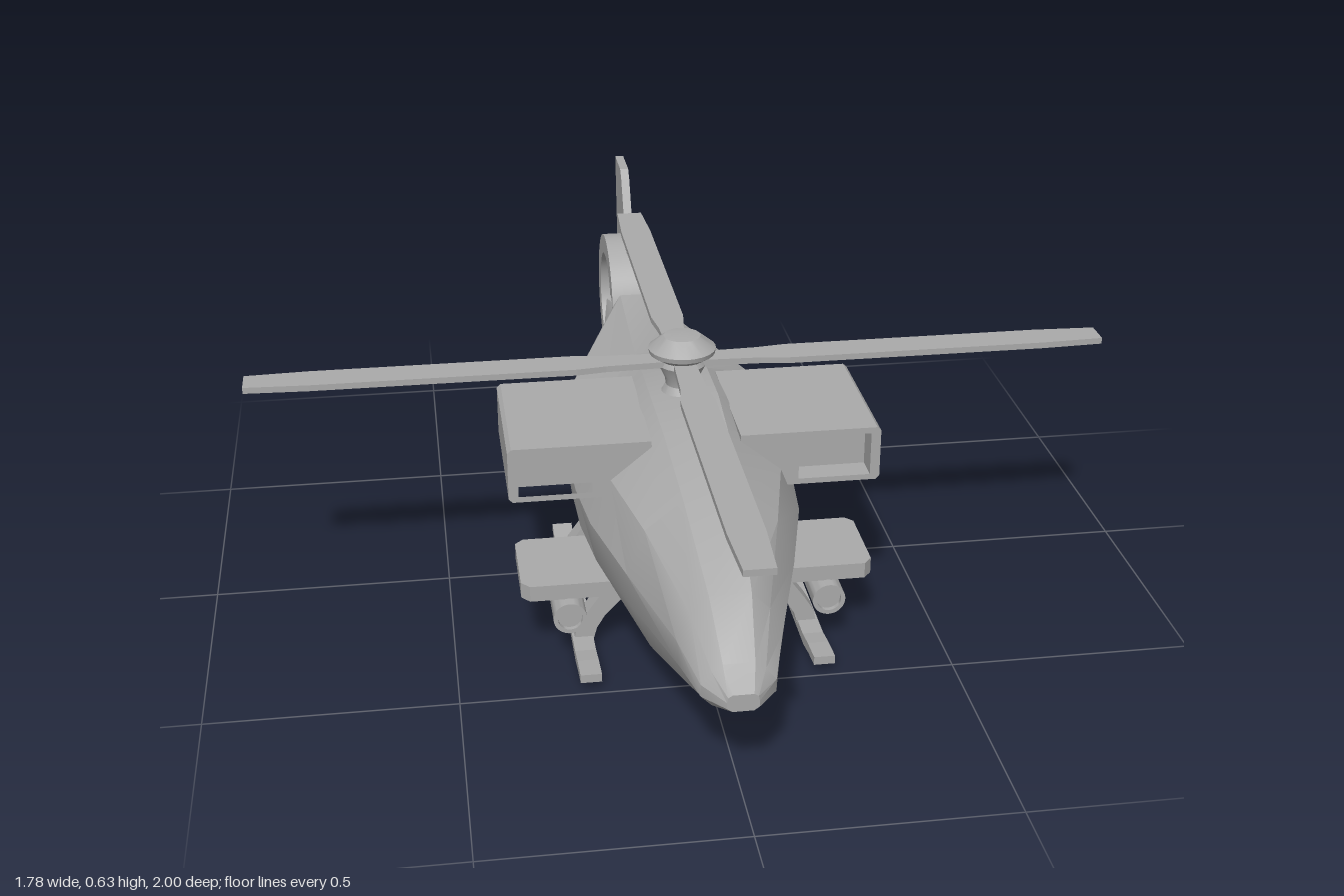
import * as THREE from 'three';
import { toCreasedNormals } from 'three/addons/utils/BufferGeometryUtils.js';

export function createModel() {
  const model = new THREE.Group();
  model.name = 'helicopter';
  const grey = new THREE.MeshStandardMaterial({ color: 0xaaaaaa });
  grey.name = 'grey';

  const add = (name, geometry, parent = model) => {
    const mesh = new THREE.Mesh(geometry, grey);
    mesh.name = name;
    parent.add(mesh);
    return mesh;
  };
  const polygon = (points) => new THREE.Shape(points.map(([x, y]) => new THREE.Vector2(x, y)));
  const extrude = (shape, depth) =>
    new THREE.ExtrudeGeometry(shape, { depth, bevelEnabled: false, curveSegments: 24 }).translate(0, 0, -depth / 2);
  // Profile drawn as (z, y), thickness across x
  const extrudeSide = (shape, width) => extrude(shape, width).rotateY(-Math.PI / 2);
  const box = (x0, x1, y0, y1, z0, z1) =>
    new THREE.BoxGeometry(x1 - x0, y1 - y0, z1 - z0).translate((x0 + x1) / 2, (y0 + y1) / 2, (z0 + z1) / 2);

  // Hull: cross-sections from tail to nose; z, five heights, five half widths
  const sections = [
    [-0.72, 0.25, 0.265, 0.3, 0.35, 0.375, 0.05, 0.07, 0.07, 0.065, 0.035],
    [-0.69, 0.255, 0.265, 0.3, 0.345, 0.368, 0.035, 0.055, 0.06, 0.05, 0.035],
    [-0.2, 0.143, 0.21, 0.28, 0.362, 0.425, 0.14, 0.215, 0.235, 0.2, 0.06],
    [0, 0.1, 0.19, 0.275, 0.37, 0.47, 0.16, 0.225, 0.232, 0.19, 0.07],
    [0.15, 0.1, 0.19, 0.275, 0.373, 0.475, 0.16, 0.222, 0.23, 0.188, 0.07],
    [0.3, 0.1, 0.19, 0.275, 0.375, 0.465, 0.15, 0.205, 0.215, 0.175, 0.065],
    [0.5, 0.1, 0.19, 0.265, 0.36, 0.42, 0.12, 0.155, 0.165, 0.13, 0.055],
    [0.72, 0.145, 0.19, 0.245, 0.3, 0.335, 0.075, 0.095, 0.1, 0.075, 0.04],
    [0.82, 0.165, 0.185, 0.21, 0.235, 0.25, 0.05, 0.07, 0.07, 0.05, 0.03],
    [0.87, 0.18, 0.187, 0.2, 0.21, 0.215, 0.02, 0.03, 0.03, 0.028, 0.02],
  ];
  const positions = [];
  const index = [];
  const n = 10;
  for (const s of sections) {
    for (let j = 0; j < n; j++) {
      const k = j < 5 ? j : 9 - j;
      positions.push((j < 5 ? 1 : -1) * s[6 + k], s[1 + k], s[0]);
    }
  }
  const last = (sections.length - 1) * n;
  for (let i = 0; i < last; i += n) {
    for (let j = 0; j < n; j++) {
      const a = i + j;
      const b = i + ((j + 1) % n);
      index.push(a, b, b + n, a, b + n, a + n);
    }
  }
  for (let j = 1; j < n - 1; j++) {
    index.push(0, j + 1, j, last, last + j, last + j + 1);
  }
  const hull = new THREE.BufferGeometry();
  hull.setAttribute('position', new THREE.Float32BufferAttribute(positions, 3));
  hull.setIndex(index);
  add('hull', toCreasedNormals(hull, 0.45));

  // Main rotor: mast with hub, four blades
  const rotor = new THREE.Group();
  rotor.name = 'mainRotor';
  rotor.position.set(0, 0, 0.11);
  model.add(rotor);
  const mast = [[0.055, 0.45], [0.045, 0.47], [0.034, 0.49], [0.036, 0.505], [0.05, 0.535],
    [0.045, 0.545], [0.068, 0.56], [0.07, 0.57], [0.038, 0.596], [0, 0.6]];
  const mastGeometry = new THREE.LatheGeometry(mast.map(([r, y]) => new THREE.Vector2(r, y)), 24);
  add('mastAndHub', toCreasedNormals(mastGeometry, 0.5), rotor);
  const bladeShape = polygon([[0.02, -0.022], [0.16, -0.027], [0.22, -0.035], [0.76, -0.035], [0.89, -0.029],
    [0.89, 0.029], [0.76, 0.035], [0.22, 0.035], [0.16, 0.027], [0.02, 0.022]]);
  for (let i = 0; i < 4; i++) {
    const blade = add('rotorBlade', extrude(bladeShape, 0.013).rotateX(Math.PI / 2), rotor);
    blade.position.y = 0.541;
    blade.rotation.y = (i * Math.PI) / 2;
  }

  // Tail: shrouded fan and fin
  const tail = new THREE.Group();
  tail.name = 'tailFan';
  tail.position.set(0, 0.303, -0.838);
  model.add(tail);
  const ring = new THREE.Shape().absarc(0, 0, 0.162, 0, Math.PI * 2);
  ring.holes.push(new THREE.Path().absarc(0, 0, 0.115, 0, Math.PI * 2, true));
  add('fanShroud', toCreasedNormals(extrudeSide(ring, 0.11), 0.5), tail);
  add('fanHub', toCreasedNormals(new THREE.CylinderGeometry(0.03, 0.03, 0.07, 20).rotateZ(Math.PI / 2), 0.5), tail);
  const vane = polygon([[-0.008, 0.02], [0.008, 0.02], [0.02, 0.117], [-0.02, 0.117]]);
  for (let i = 0; i < 8; i++) {
    const blade = add('fanBlade', extrudeSide(vane, 0.008).rotateY(0.5), tail);
    blade.rotation.x = (i * Math.PI) / 4;
  }
  add('tailFin', extrudeSide(polygon([[-0.96, 0.42], [-0.98, 0.63], [-0.875, 0.63], [-0.855, 0.61], [-0.75, 0.42]]), 0.02));

  // Parts in pairs
  for (const side of [1, -1]) {
    const name = side > 0 ? 'left' : 'right';
    const group = new THREE.Group();
    group.name = name + 'SideParts';
    model.add(group);
    // Mirrored by position, as every part is symmetric about its own middle or redrawn
    const sx = (pts) => polygon(pts.map(([x, y]) => [x * side, y]));
    const sbox = (x0, x1, ...rest) => (side > 0 ? box(x0, x1, ...rest) : box(-x1, -x0, ...rest));

    // Engine housing, open and recessed at both ends
    const frame = sx([[0.09, 0.338], [0.37, 0.338], [0.378, 0.346], [0.378, 0.447], [0.37, 0.455], [0.09, 0.455]]);
    frame.holes.push(sx([[0.21, 0.35], [0.358, 0.35], [0.358, 0.442], [0.21, 0.442]]));
    add(name + 'EngineHousing', extrude(frame, 0.32).translate(0, 0, 0.148), group);
    add(name + 'EngineCore', sbox(0.2, 0.365, 0.345, 0.448, 0.04, 0.255), group);

    // Stub wing with chamfered outer corners, drawn as (x, z)
    const wing = sx([[0.12, 0.155], [0.345, 0.155], [0.362, 0.172], [0.362, 0.335], [0.345, 0.355], [0.12, 0.355]]);
    add(name + 'StubWing', extrude(wing, 0.034).rotateX(Math.PI / 2).translate(0, 0.152, 0), group);

    // Launcher pod with shallow hollow ends
    const podShape = new THREE.Shape().absarc(0, 0, 0.034, 0, Math.PI * 2);
    podShape.holes.push(new THREE.Path().absarc(0, 0, 0.025, 0, Math.PI * 2, true));
    const pod = add(name + 'Pod', toCreasedNormals(extrude(podShape, 0.25), 0.5), group);
    const core = add(name + 'PodCore', toCreasedNormals(
      new THREE.CylinderGeometry(0.027, 0.027, 0.23, 24).rotateX(Math.PI / 2), 0.5), group);
    for (const part of [pod, core]) part.position.set(side * 0.267, 0.102, 0.253);

    // Landing skid with upturned ends, and its two legs
    const skid = polygon([[-0.15, 0.018], [-0.06, 0], [0.38, 0], [0.43, 0.01], [0.485, 0.016],
      [0.485, 0.034], [0.42, 0.028], [0.37, 0.02], [-0.06, 0.02], [-0.15, 0.036]]);
    add(name + 'Skid', extrudeSide(skid, 0.043).translate(side * 0.237, 0, 0), group);
    const leg = sx([[0.215, 0.012], [0.255, 0.012], [0.25, 0.04], [0.232, 0.07], [0.2, 0.115],
      [0.2, 0.15], [0.12, 0.15], [0.15, 0.11], [0.19, 0.068], [0.207, 0.04]]);
    for (const z of [0.296, -0.014]) {
      add(name + 'SkidLeg', extrude(leg, 0.042).translate(0, 0, z), group);
    }
  }
  return model;
}
